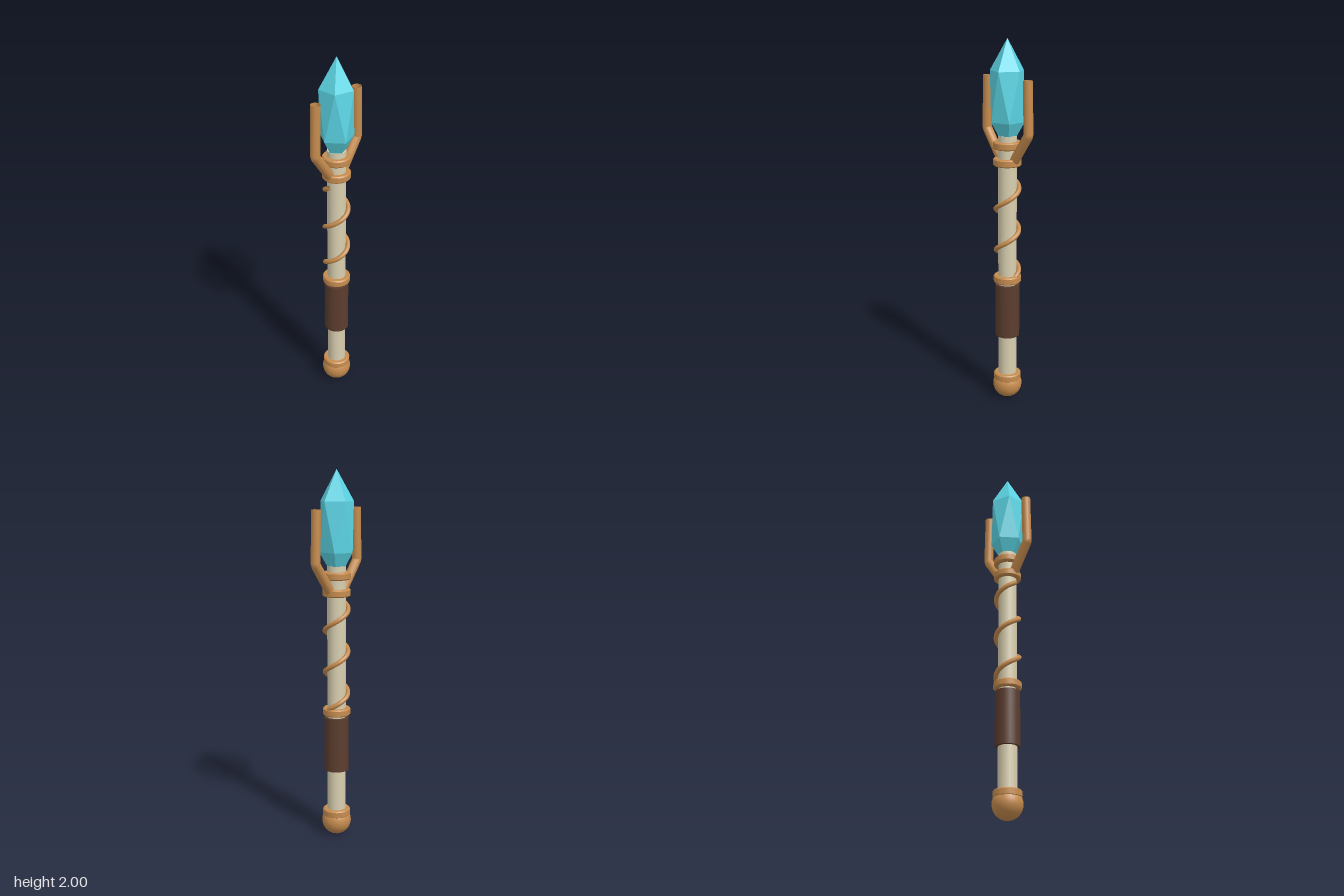
import * as THREE from 'three';
import { ConvexGeometry } from 'three/addons/geometries/ConvexGeometry.js';
import { toCreasedNormals } from 'three/addons/utils/BufferGeometryUtils.js';

const V2 = (x, y) => new THREE.Vector2(x, y);
const V3 = (x, y, z) => new THREE.Vector3(x, y, z);
const mat = (color, extra = {}) => new THREE.MeshStandardMaterial({ color, ...extra });

// Helix wound around the shaft
class Helix extends THREE.Curve {
  getPoint(t, target = new THREE.Vector3()) {
    const a = t * Math.PI * 5;
    return target.set(0.062 * Math.cos(a), 0.73 + 0.57 * t, -0.062 * Math.sin(a));
  }
}

export function createModel() {
  const group = new THREE.Group();
  const copper = mat(0xc68c4e, { side: THREE.DoubleSide });
  const bone = mat(0xd9cfb0);
  const leather = mat(0x5c3d2e);
  const gem = mat(0x5cd6e6, { flatShading: true });

  const add = (name, geometry, material, y = 0) => {
    const mesh = new THREE.Mesh(geometry, material);
    mesh.name = name;
    mesh.position.y = y;
    group.add(mesh);
    return mesh;
  };

  // Shaft, grip and pommel
  add('shaft', new THREE.CylinderGeometry(0.05, 0.05, 1.4, 24), bone, 0.8);
  add('grip', new THREE.CylinderGeometry(0.066, 0.066, 0.3, 24), leather, 0.527);
  add('pommel', new THREE.SphereGeometry(0.08, 28, 18), copper, 0.08);

  // Collars with softened edges
  const r = 0.075, h = 0.02, b = 0.006;
  const ringProfile = [V2(0.045, -h), V2(r - b, -h), V2(r, -h + b), V2(r, h - b), V2(r - b, h), V2(0.045, h)];
  const ring = toCreasedNormals(new THREE.LatheGeometry(ringProfile, 32), 0.6);
  const collars = { pommelRing: 0.13, gripRing: 0.71, prongRing: 1.36, crystalRing: 1.45 };
  for (const [name, y] of Object.entries(collars)) add(name, ring, copper, y);

  // Spiral wire
  add('spiralWire', new THREE.TubeGeometry(new Helix(), 120, 0.013, 8), copper);

  // Two bent, open-ended prongs
  for (const [name, s] of [['leftProng', 1], ['rightProng', -1]]) {
    const path = new THREE.CatmullRomCurve3(
      [V3(s * 0.045, 1.36, 0), V3(s * 0.16, 1.52, 0), V3(s * 0.153, 1.8, 0)], false, 'catmullrom', 0);
    add(name, new THREE.TubeGeometry(path, 40, 0.026, 12), copper);
  }

  // Crystal: two staggered pentagons between two points
  const points = [V3(0, 2, 0), V3(0, 1.41, 0)];
  for (let i = 0; i < 10; i++) {
    const a = i * Math.PI / 5;
    points.push(V3(0.092 * Math.cos(a), i % 2 ? 1.573 : 1.837, 0.092 * Math.sin(a)));
  }
  add('crystal', new ConvexGeometry(points), gem);

  return group;
}
